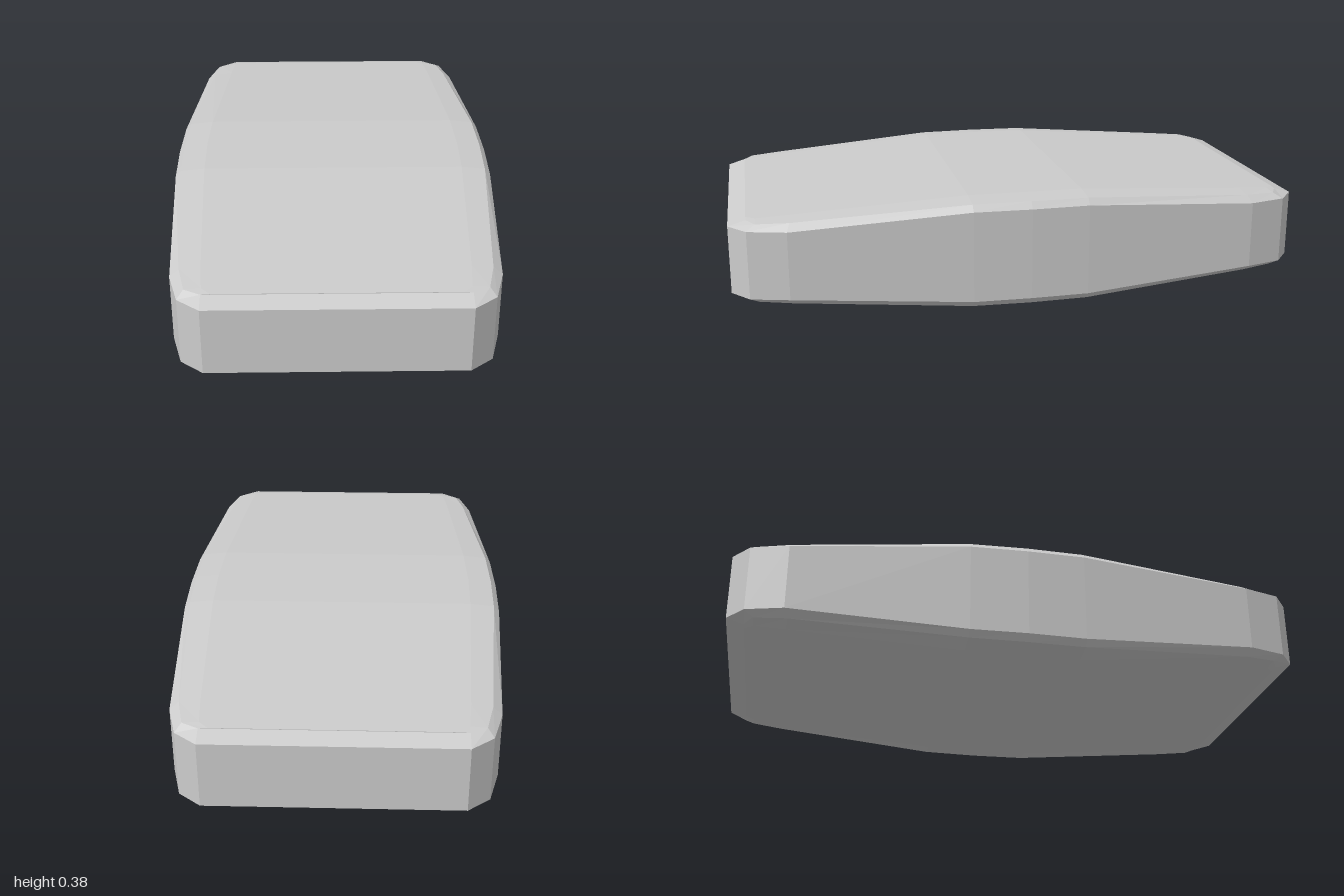
import * as THREE from 'three';

// Quarter outlines as [x, height above mid plane, z], from the end to the middle
const MID = 0.192;
const wall = [[0.42, 0.117, 1], [0.495, 0.117, 0.94], [0.53, 0.117, 0.81], [0.57, 0.158, 0.2], [0.575, 0.158, 0]];
const bevel = [[0.42, 0.135, 0.94], [0.475, 0.135, 0.91], [0.5, 0.14, 0.8], [0.55, 0.18, 0.2], [0.555, 0.181, 0]];
const crown = [[0.39, 0.137, 0.94], [0.42, 0.139, 0.91], [0.43, 0.147, 0.8], [0.465, 0.189, 0.2], [0.47, 0.19, 0]];

// Mirrors a quarter outline into a closed ring above (1) or below (-1) the mid plane
function ring(quarter, side) {
  const back = quarter.slice(0, -1).reverse().map(([x, h, z]) => [x, h, -z]);
  const half = [...quarter, ...back];
  const other = [...half].reverse().map(([x, h, z]) => [-x, h, z]);
  return [...half, ...other].map(([x, h, z]) => [x, MID + side * h, z]);
}

function buildBody() {
  const positions = [];
  const quad = (a, b, c, d) => positions.push(...a, ...b, ...c, ...a, ...c, ...d);
  const rings = [
    ring(crown, -1), ring(bevel, -1), ring(wall, -1),
    ring(wall, 1), ring(bevel, 1), ring(crown, 1),
  ];
  const n = rings[0].length;

  // Side wall, bevels and crown slopes
  for (let r = 0; r < rings.length - 1; r++) {
    const low = rings[r], high = rings[r + 1];
    for (let i = 0; i < n; i++) {
      const j = (i + 1) % n;
      quad(low[i], low[j], high[j], high[i]);
    }
  }

  // Top and bottom panels, in strips across the width
  const bottom = rings[0], top = rings[rings.length - 1];
  for (let i = 0; i < n / 2 - 1; i++) {
    const l = n - 1 - i;
    quad(top[i], top[i + 1], top[l - 1], top[l]);
    quad(bottom[l], bottom[l - 1], bottom[i + 1], bottom[i]);
  }

  const geometry = new THREE.BufferGeometry();
  geometry.setAttribute('position', new THREE.Float32BufferAttribute(positions, 3));
  geometry.computeVertexNormals();
  return geometry;
}

export function createModel() {
  const group = new THREE.Group();
  group.name = 'facetedBar';
  const material = new THREE.MeshStandardMaterial({ color: 0xcccccc, flatShading: true });
  const body = new THREE.Mesh(buildBody(), material);
  body.name = 'body';
  group.add(body);
  return group;
}
